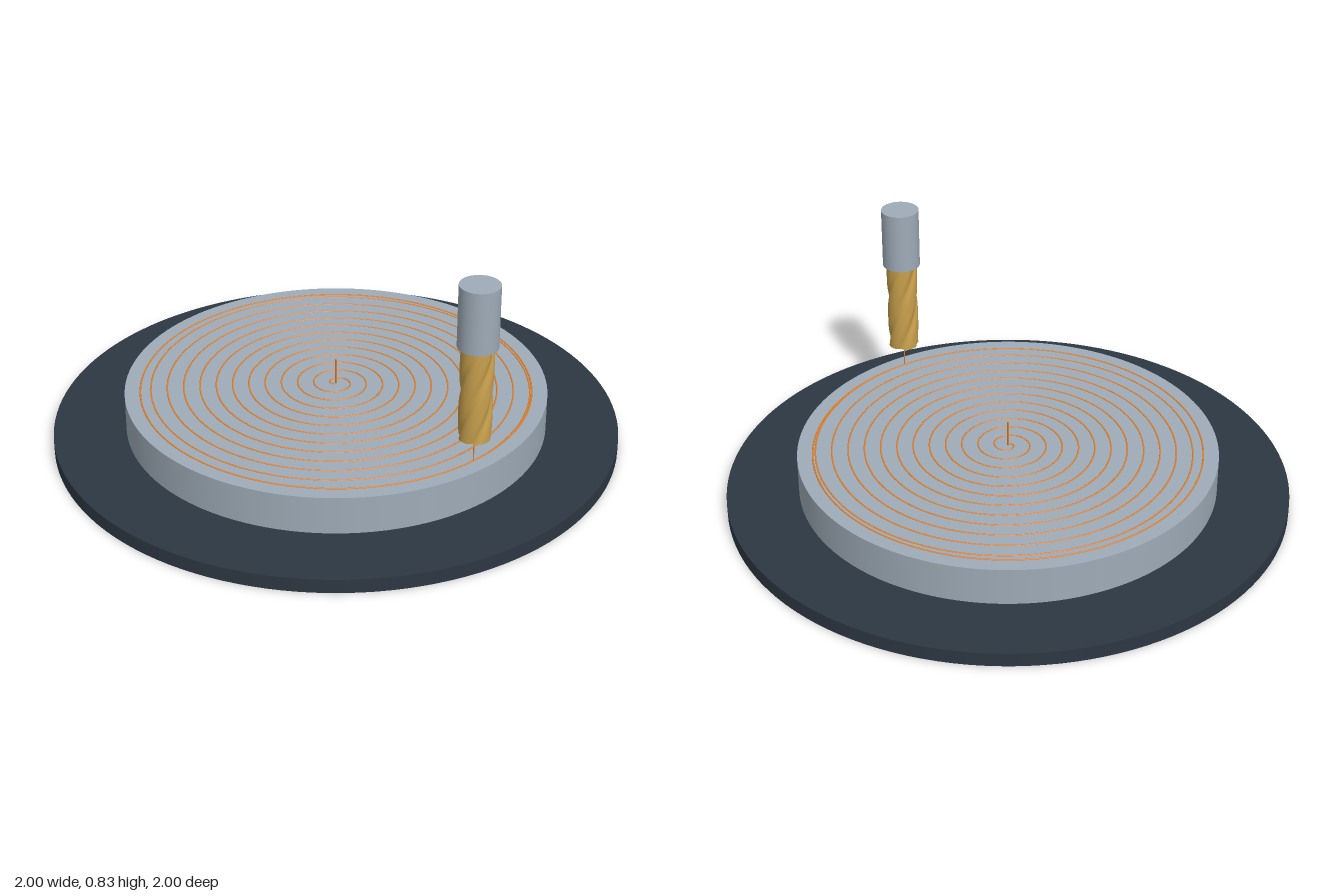
import * as THREE from 'three';

const paint = (name, color) => {
  const m = new THREE.MeshStandardMaterial({ color });
  m.name = name;
  return m;
};

// Flat spiral from the centre out to the rim, ending on +x
class Spiral extends THREE.Curve {
  constructor(radius, turns) {
    super();
    this.radius = radius;
    this.turns = turns;
    this.arcLengthDivisions = 4000;
  }
  getPoint(t, target = new THREE.Vector3()) {
    const a = t * this.turns * Math.PI * 2, r = t * this.radius;
    return target.set(Math.cos(a) * r, 0, Math.sin(a) * r);
  }
}

// Fluted cylinder: lobed cross-section twisted along its height
function flutedGeometry(radius, height, flutes, twist) {
  const g = new THREE.CylinderGeometry(radius, radius, height, 64, 32);
  const p = g.attributes.position;
  for (let i = 0; i < p.count; i++) {
    const x = p.getX(i), y = p.getY(i), z = p.getZ(i);
    const a = Math.atan2(z, x) + twist * (y / height + 0.5);
    const cut = 1 - 0.14 * Math.pow(0.5 - 0.5 * Math.cos(a * flutes), 3);
    p.setXYZ(i, x * cut, y, z * cut);
  }
  g.computeVertexNormals();
  return g;
}

export function createModel() {
  const group = new THREE.Group();
  const slate = paint('dark slate', 0x2d3743);
  const steel = paint('light steel', 0x9eabb7);
  const brass = paint('brass', 0xc8a04c);
  const orange = paint('path orange', 0xe88228);

  const add = (name, geometry, material, x = 0, y = 0) => {
    const mesh = new THREE.Mesh(geometry, material);
    mesh.name = name;
    mesh.position.set(x, y, 0);
    group.add(mesh);
    return mesh;
  };
  const cylinder = (name, r, y0, y1, material, x = 0, sides = 96) =>
    add(name, new THREE.CylinderGeometry(r, r, y1 - y0, sides), material, x, (y0 + y1) / 2);

  const top = 0.185, reach = 0.69, clear = 0.28, wire = 0.003;

  // Table and round workpiece
  cylinder('tableDisc', 1, 0, 0.05, slate, 0, 128);
  cylinder('workpiece', 0.745, 0.05, top, steel, 0, 128);

  // Tool path: plunge, spiral, finishing circle, retract
  cylinder('plungeLine', wire, top, clear, orange, 0, 6);
  add('spiralPath', new THREE.TubeGeometry(new Spiral(reach, 12), 1400, wire, 6), orange, 0, top);
  const ring = new THREE.TorusGeometry(reach, wire, 6, 160).rotateX(Math.PI / 2);
  add('finishingCircle', ring, orange, 0, top);
  cylinder('retractLine', wire * 0.7, top, clear, orange, reach, 6);

  // Cutting tool and its holder
  add('flutedCutter', flutedGeometry(0.056, 0.335, 4, 3), brass, reach, clear + 0.1675);
  cylinder('toolHolder', 0.068, 0.615, 0.835, steel, reach, 48);

  return group;
}
